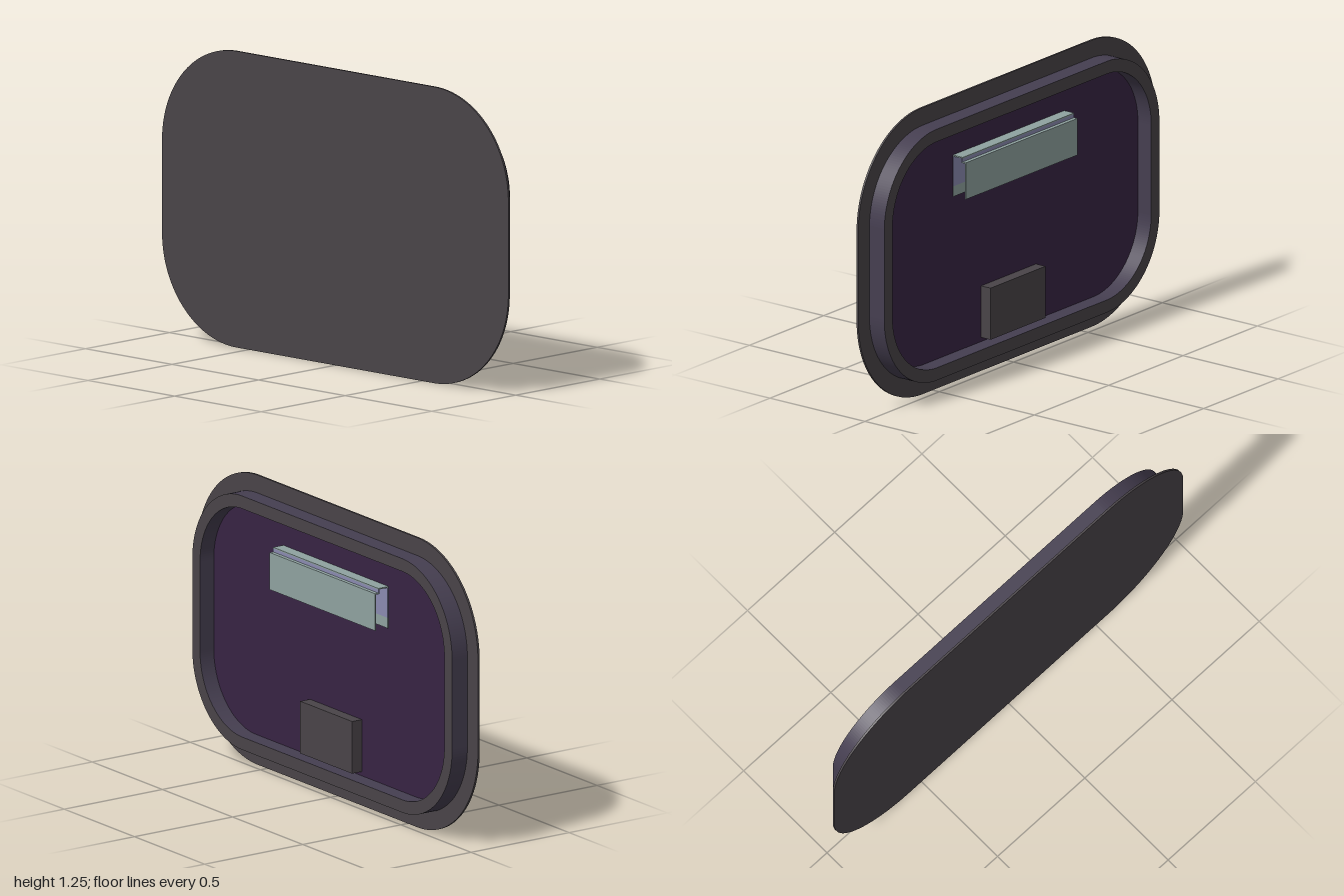
import * as THREE from 'three';

const mat = (name, color) => {
  const m = new THREE.MeshStandardMaterial({ color });
  m.name = name;
  return m;
};

// Rounded rectangle centred on the origin, traced onto a Shape or Path
function roundedRect(path, w, h, r) {
  const x = w / 2 - r, y = h / 2 - r, q = Math.PI / 2;
  path.moveTo(x + r, -y);
  path.absarc(x, y, r, 0, q);
  path.absarc(-x, y, r, q, 2 * q);
  path.absarc(-x, -y, r, 2 * q, 3 * q);
  path.absarc(x, -y, r, 3 * q, 4 * q);
  path.closePath();
  return path;
}

export function createModel() {
  const group = new THREE.Group();
  const charcoal = mat('charcoal', 0x494448);
  const slate = mat('slate violet', 0x453e50);
  const purple = mat('deep purple', 0x382444);
  const pale = mat('pale grey green', 0x8fa2a0);
  const lavender = mat('lavender grey', 0x8a8bb0);
  const midY = 0.625;

  const slab = (name, shape, z0, z1, material) => {
    const geo = new THREE.ExtrudeGeometry(shape, { depth: z1 - z0, bevelEnabled: false, curveSegments: 24 });
    const mesh = new THREE.Mesh(geo, material);
    mesh.name = name;
    mesh.position.set(0, midY, z0);
    group.add(mesh);
  };
  const box = (name, parent, w, y0, y1, z0, z1, material) => {
    const mesh = new THREE.Mesh(new THREE.BoxGeometry(w, y1 - y0, z1 - z0), material);
    mesh.name = name;
    mesh.position.set(0, (y0 + y1) / 2, (z0 + z1) / 2);
    parent.add(mesh);
  };

  // Thin front cover
  slab('coverPlate', roundedRect(new THREE.Shape(), 2, 1.25, 0.43), 0.035, 0.044, charcoal);

  // Raised rim on the back, with charcoal edge and slate walls
  const rim = roundedRect(new THREE.Shape(), 1.85, 1.096, 0.355);
  rim.holes.push(roundedRect(new THREE.Path(), 1.74, 0.986, 0.3));
  slab('backRim', rim, -0.043, 0.035, [charcoal, slate]);

  // Purple lining inside the rim
  slab('innerLining', roundedRect(new THREE.Shape(), 1.74, 0.986, 0.3), 0.027, 0.035, purple);

  // Solid block near the bottom
  box('lowerBlock', group, 0.37, 0.15, 0.375, -0.023, 0.027, charcoal);

  // Hanging bracket: folded sheet with a stepped top, open below and at the ends
  const bracket = new THREE.Group();
  bracket.name = 'bracket';
  group.add(bracket);
  const w = 0.75, t = 0.005;
  box('bracketFrontSheet', bracket, w, 0.815, 0.975, -0.042, -0.042 + t, pale);
  box('bracketStep', bracket, w, 0.97, 0.975, -0.037, -0.02, pale);
  box('bracketRiser', bracket, w, 0.97, 0.99, -0.025, -0.02, lavender);
  box('bracketTop', bracket, w, 0.99, 0.995, -0.025, 0.027, pale);
  box('bracketBackSheet', bracket, w, 0.86, 0.99, 0.022, 0.027, lavender);
  box('bracketBackLip', bracket, w, 0.815, 0.86, 0.022, 0.027, pale);

  return group;
}
